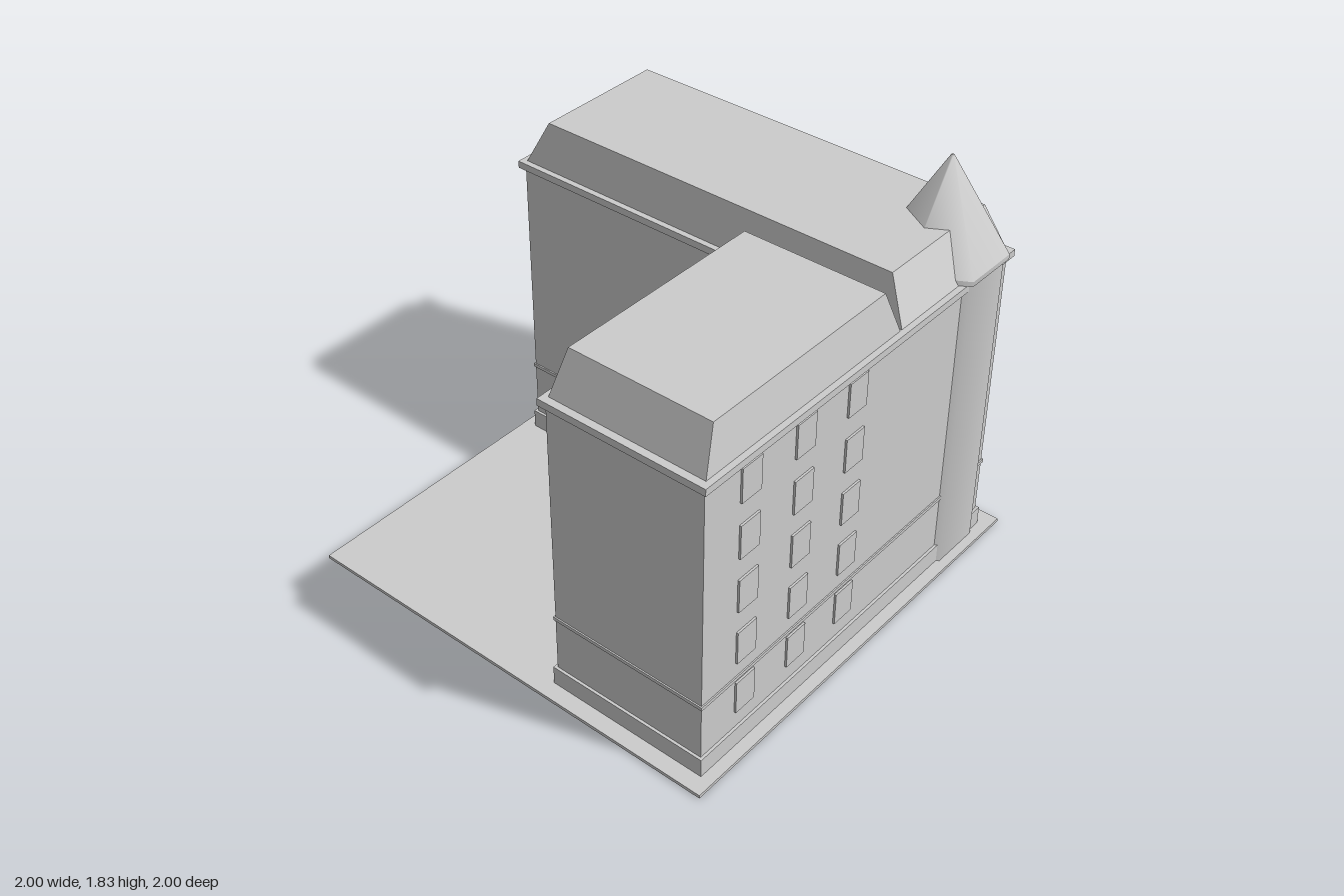
import * as THREE from 'three';

const grey = new THREE.MeshStandardMaterial({ color: 0xcccccc });
grey.name = 'plain grey';

export function createModel() {
  const model = new THREE.Group();
  model.name = 'cornerBuilding';

  const add = (name, geometry, x = 0, y = 0, z = 0) => {
    const mesh = new THREE.Mesh(geometry, grey);
    mesh.name = name;
    mesh.position.set(x, y, z);
    model.add(mesh);
    return mesh;
  };
  // Box given by its limits on each axis
  const block = (name, x0, x1, y0, y1, z0, z1) =>
    add(name, new THREE.BoxGeometry(x1 - x0, y1 - y0, z1 - z0),
      (x0 + x1) / 2, (y0 + y1) / 2, (z0 + z1) / 2);

  // L-shaped storey slab, grown outward by d
  const LEFT = -0.935, RIGHT = 0.935, BACK = -0.91, FRONT = 0.915, INNER_X = 0.226, INNER_Z = -0.205;
  const slab = (name, d, y0, y1) => {
    const outline = [
      [LEFT - d, BACK - d], [LEFT - d, INNER_Z + d], [INNER_X - d, INNER_Z + d],
      [INNER_X - d, FRONT + d], [RIGHT + d, FRONT + d], [RIGHT + d, BACK - d],
    ];
    const shape = new THREE.Shape(outline.map(([x, z]) => new THREE.Vector2(x, -z)));
    const geometry = new THREE.ExtrudeGeometry(shape, { depth: y1 - y0, bevelEnabled: false });
    geometry.rotateX(-Math.PI / 2);
    return add(name, geometry, 0, y0, 0);
  };

  block('groundPlate', -1, 1, 0, 0.015, -1, 1);
  slab('plinth', 0.012, 0.015, 0.1);
  slab('walls', 0, 0.1, 1.365);
  slab('stringCourse', 0.006, 0.348, 0.364);
  slab('cornice', 0.021, 1.365, 1.396);

  // Flat-topped roofs: a box whose upper corners move to the top limits
  const roof = (name, base, top) => {
    const geometry = new THREE.BoxGeometry(2, 2, 2).toNonIndexed();
    const p = geometry.attributes.position;
    for (let i = 0; i < p.count; i++) {
      const upper = p.getY(i) > 0;
      const [x0, x1, z0, z1] = upper ? top : base;
      p.setXYZ(i, p.getX(i) < 0 ? x0 : x1, upper ? 1.583 : 1.396, p.getZ(i) < 0 ? z0 : z1);
    }
    geometry.computeVertexNormals();
    return add(name, geometry);
  };
  roof('mainRoof', [-0.93, 0.93, -0.912, -0.21], [-0.842, 0.842, -0.863, -0.255]);
  roof('wingRoof', [0.23, 0.93, -0.2, 0.903], [0.265, 0.9, -0.13, 0.832]);

  // Six-sided corner tower with a pointed roof
  const tx = 0.76, tz = -0.73;
  add('towerBody', new THREE.CylinderGeometry(0.23, 0.23, 1.385, 6), tx, 0.7075, tz);
  add('towerEaves', new THREE.CylinderGeometry(0.25, 0.25, 0.022, 6), tx, 1.409, tz);
  add('towerRoof', new THREE.CylinderGeometry(0.006, 0.25, 0.41, 6), tx, 1.625, tz);

  // Windows: five rows on the back, the left end and the wing's right side
  const w = 0.054, h = 0.076;
  for (let row = 0; row < 5; row++) {
    const y = 0.258 + row * 0.252;
    for (let k = -3; k <= 2; k++) {
      if (row === 0 && (k === 0 || k === -1)) continue; // space for the door
      const x = k * 0.238;
      block('backWindow', x - w, x + w, y - h, y + h, BACK - 0.005, BACK + 0.004);
    }
    for (const z of [-0.7, -0.4]) {
      block('leftWindow', LEFT - 0.009, LEFT, y - h, y + h, z - w, z + w);
    }
    for (const z of [0.06, 0.365, 0.67]) {
      block('rightWindow', RIGHT, RIGHT + 0.009, y - h, y + h, z - w, z + w);
    }
  }
  block('backDoor', -0.22, -0.02, 0.08, 0.39, BACK - 0.008, BACK);

  return model;
}
